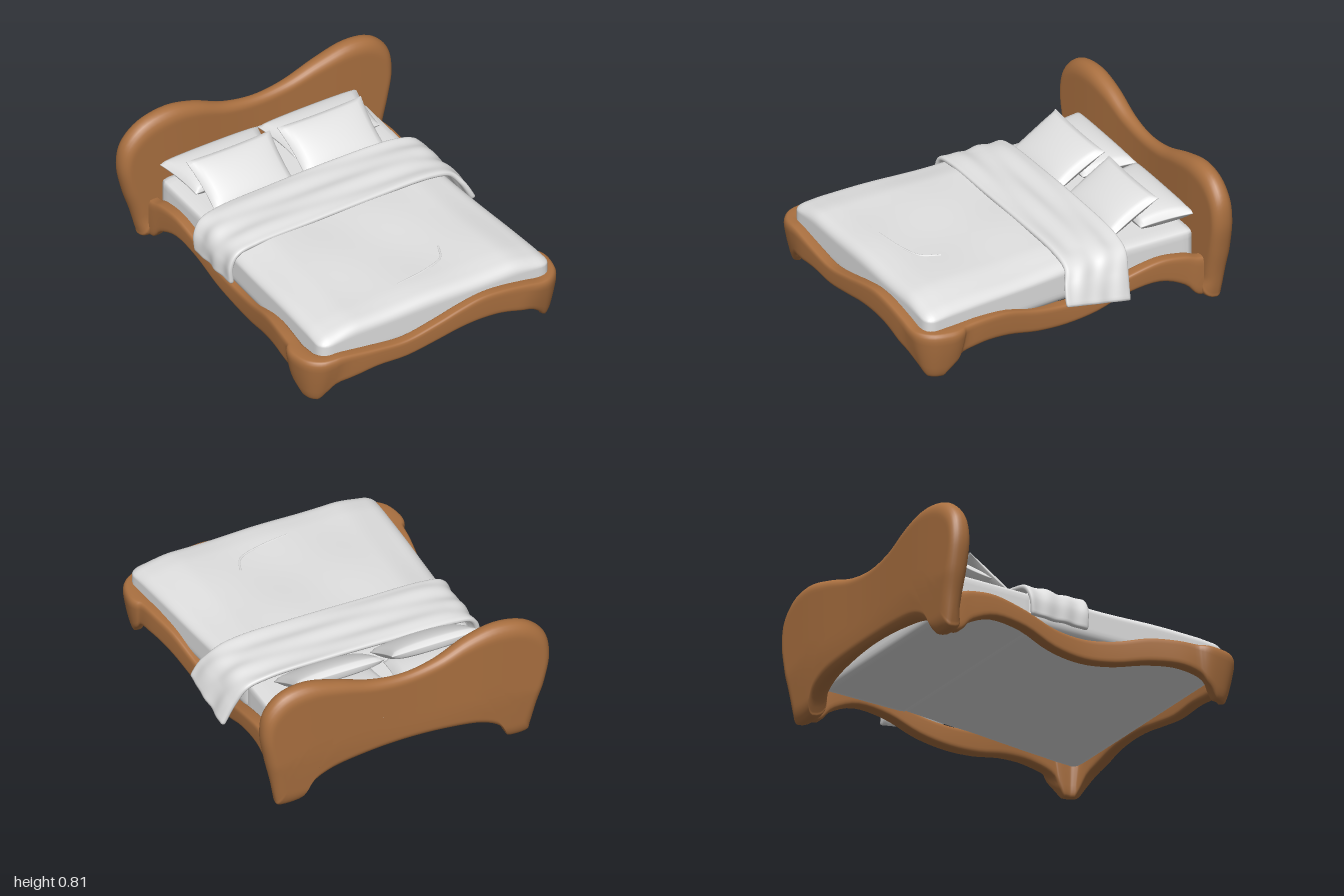
import * as THREE from 'three';
import { mergeVertices } from 'three/addons/utils/BufferGeometryUtils.js';

const wood = new THREE.MeshStandardMaterial({ color: 0xaa7040 });
wood.name = 'warm wood';
const linen = new THREE.MeshStandardMaterial({ color: 0xe0e0e0 });
linen.name = 'pale linen';

const V = (x, y, z) => new THREE.Vector3(x, y, z);
const { smoothstep, clamp } = THREE.MathUtils;

function addMesh(group, name, geometry, material) {
  const mesh = new THREE.Mesh(geometry, material);
  mesh.name = name;
  group.add(mesh);
  return mesh;
}

// Smooth surface through rows of points, each row a closed ring
function loft(rings) {
  const n = rings[0].length, index = [];
  for (let i = 0; i < rings.length - 1; i++) {
    for (let j = 0; j < n; j++) {
      const a = i * n + j, b = i * n + (j + 1) % n;
      index.push(a, b, a + n, b, b + n, a + n);
    }
  }
  const g = new THREE.BufferGeometry().setFromPoints(rings.flat());
  g.setIndex(index);
  g.computeVertexNormals();
  return g;
}

// Subdivided box with rounded edges, then shaped by a rule on each vertex
function softBox(size, segments, r, rule) {
  let g = new THREE.BoxGeometry(...size, ...segments);
  g.deleteAttribute('normal');
  g.deleteAttribute('uv');
  g = mergeVertices(g);
  const inner = V(size[0] / 2 - r, size[1] / 2 - r, size[2] / 2 - r);
  const p = V(), q = V(), pos = g.attributes.position;
  for (let i = 0; i < pos.count; i++) {
    p.fromBufferAttribute(pos, i);
    if (r > 0) {
      q.copy(p).clamp(inner.clone().negate(), inner);
      p.sub(q).setLength(r).add(q);
    }
    rule(p);
    pos.setXYZ(i, p.x, p.y, p.z);
  }
  g.computeVertexNormals();
  return g;
}

// Wavy headboard: rings shrink from the rim to a middle line on both faces
function headboardGeometry() {
  const outline = [
    [0.79, 0], [0.8, 0.03], [0.83, 0.18], [0.865, 0.34], [0.89, 0.52], [0.865, 0.66], [0.77, 0.76], [0.62, 0.79],
    [0.42, 0.745], [0.2, 0.672], [0, 0.65], [-0.2, 0.685], [-0.4, 0.77], [-0.58, 0.805],
    [-0.76, 0.765], [-0.87, 0.66], [-0.9, 0.52], [-0.87, 0.34], [-0.82, 0.18], [-0.78, 0.03], [-0.77, 0],
    [-0.645, 0], [-0.635, 0.02], [-0.59, 0.09], [-0.48, 0.15], [-0.28, 0.185], [0, 0.2],
    [0.28, 0.185], [0.48, 0.15], [0.59, 0.09], [0.635, 0.02], [0.645, 0]];
  const rim = new THREE.CatmullRomCurve3(outline.map(([x, y]) => V(x, y, 0)), true).getPoints(160).slice(0, -1);
  const levels = [1, 0.8, 0.6, 0.4, 0.25, 0.2, 0.15, 0.1, 0.06, 0.03, 0.01];
  const ring = (k, face) => rim.map(p => {
    const x = p.x * (1 - 0.28 * k), y = p.y + (0.42 - p.y) * k;
    const round = Math.sqrt(1 - (1 - Math.min(k / 0.2, 1)) ** 2);
    const wide = smoothstep(Math.abs(x), 0, 0.65);
    // Feet sit a little forward of the panel
    const foot = face < 0 ? 1 - 0.4 * Math.max(0, 1 - y / 0.3) : 1 + 0.5 * Math.max(0, 1 - y / 0.12);
    return V(x, y, -0.94 + 0.005 * wide + face * foot * round * (0.04 + 0.025 * wide));
  });
  return loft([
    ...levels.map(k => ring(k, -1)), ring(0, 0),
    ...levels.slice().reverse().map(k => ring(k, 1))]);
}

// Side rails, front legs and footboard as one swept band
function frameGeometry() {
  // x, z, bottom, top, width; from the headboard forward
  const side = [
    [0.72, -0.92, 0.01, 0.25, 0.08], [0.72, -0.84, 0.02, 0.26, 0.08], [0.715, -0.76, 0.1, 0.285, 0.08],
    [0.71, -0.6, 0.165, 0.3, 0.08], [0.705, -0.4, 0.15, 0.26, 0.08], [0.695, -0.2, 0.08, 0.2, 0.08],
    [0.695, 0, 0.055, 0.185, 0.08], [0.715, 0.2, 0.075, 0.215, 0.08], [0.745, 0.4, 0.125, 0.275, 0.08],
    [0.775, 0.58, 0.145, 0.295, 0.08], [0.79, 0.7, 0.12, 0.295, 0.085], [0.805, 0.75, 0.05, 0.295, 0.115],
    [0.805, 0.8, 0, 0.295, 0.125], [0.79, 0.88, 0, 0.295, 0.115], [0.745, 0.93, 0, 0.295, 0.105],
    [0.69, 0.948, 0.04, 0.297, 0.09]];
  const front = [
    [0.6, 0.952, 0.125, 0.315, 0.08], [0.45, 0.955, 0.18, 0.34, 0.075], [0.3, 0.96, 0.2, 0.35, 0.07],
    [0.15, 0.962, 0.195, 0.325, 0.07], [0, 0.962, 0.17, 0.288, 0.07], [-0.2, 0.96, 0.14, 0.25, 0.07],
    [-0.4, 0.957, 0.145, 0.267, 0.075], [-0.6, 0.952, 0.11, 0.295, 0.08]];
  const mirrored = side.map(([x, ...rest]) => [0.02 - x, ...rest]).reverse();
  const stations = [...side, ...front, ...mirrored];
  const path = new THREE.CatmullRomCurve3(stations.map(s => V(s[0], 0, s[1])), false, 'catmullrom');
  const sizes = new THREE.CatmullRomCurve3(stations.map(s => V(s[2], s[3], s[4])), false, 'catmullrom');
  const steps = (stations.length - 1) * 4, sides = 28, rings = [];
  const soft = v => Math.sign(v) * Math.abs(v) ** 0.42;
  for (let i = 0; i <= steps; i++) {
    const c = path.getPoint(i / steps), d = sizes.getPoint(i / steps);
    const out = V(0, 1, 0).cross(path.getTangent(i / steps)).normalize();
    const low = Math.max(0, d.x);
    rings.push(Array.from({ length: sides }, (_, j) => {
      const a = (j / sides) * Math.PI * 2;
      const p = c.clone().addScaledVector(out, soft(Math.cos(a)) * d.z / 2);
      p.y = (low + d.y) / 2 + soft(Math.sin(a)) * (d.y - low) / 2;
      // Front legs taper toward their feet
      const fx = p.x > 0 ? 0.755 : -0.735, fz = 0.86;
      const near = 1 - smoothstep(Math.hypot(p.x - fx, p.z - fz), 0.13, 0.25);
      const pull = near * 0.5 * Math.max(0, 1 - p.y / 0.27) ** 1.25;
      p.x += (fx - p.x) * pull;
      p.z += (fz - p.z) * pull;
      return p;
    }));
  }
  return loft(rings);
}

// Plump cushion with pinched edges, narrower toward its front edge
function pillowGeometry(width, length, thickness, taper) {
  return softBox([2, 2, 2], [24, 2, 24], 0, p => {
    const { x: u, z: v } = p;
    const full = 0.05 + 0.95 * Math.max(0, (1 - u * u) * (1 - v * v)) ** 0.35;
    p.x = u * width / 2 * (1 - 0.04 * (1 - v * v)) * (1 - taper * (v + 1) / 2);
    p.y *= thickness / 2 * full;
    p.z = v * length / 2 * (1 - 0.04 * (1 - u * u));
  });
}

// Throw blanket draped across the bed, hanging lower on the left side
function throwGeometry() {
  const drape = new THREE.CatmullRomCurve3([
    V(-0.735, 0.23, 0), V(-0.73, 0.34, 0), V(-0.69, 0.41, 0), V(-0.58, 0.443, 0), V(-0.2, 0.455, 0),
    V(0.2, 0.455, 0), V(0.58, 0.443, 0), V(0.71, 0.41, 0), V(0.775, 0.33, 0), V(0.835, 0.2, 0)]);
  return softBox([2, 0.03, 0.38], [90, 2, 30], 0.014, p => {
    const t = clamp((p.x + 1) / 2, 0, 1), v = p.z / 0.19;
    const c = drape.getPoint(t), d = drape.getTangent(t);
    const hang = smoothstep(t, 0.75, 1);
    const wave = 0.004 * Math.sin(v * 6 + t * 13) + 0.003 * Math.sin(v * 10 - t * 11);
    const off = p.y + wave;
    p.set(c.x - d.y * off, c.y + d.x * off + 0.035 * hang * v,
      p.z * (1 + 0.08 * hang) - 0.185 + hang * 0.035 - 0.035 * Math.sin(Math.PI * t) * (1 - v) / 2);
  });
}

export function createModel() {
  const bed = new THREE.Group();
  bed.name = 'bed';
  addMesh(bed, 'headboard', headboardGeometry(), wood);
  addMesh(bed, 'frame', frameGeometry(), wood);

  addMesh(bed, 'mattress', softBox([1.34, 0.22, 0.56], [30, 8, 14], 0.03, p => {
    p.y += 0.29;
    p.z -= 0.575;
  }), linen);

  // Duvet widening toward the foot, sloping at its edges, with shallow wrinkles
  addMesh(bed, 'duvet', softBox([1.41, 0.265, 1.29], [64, 14, 60], 0.065, p => {
    p.z += 0.285;
    const top = smoothstep(p.y, 0, 0.13);
    const slope = 0.035 * smoothstep(Math.abs(p.x), 0.46, 0.7) + 0.012 * smoothstep(p.z, 0.75, 0.93);
    p.y += 0.313 + top * (0.003 * (Math.sin(p.z * 9 + p.x * 4) + Math.sin(p.x * 11 - p.z * 5)) - 0.008 * p.z - slope);
    p.x = p.x * (1 + 0.085 * p.z) + 0.037 * p.z;
  }), linen);

  // Raised crease near the foot of the duvet
  const crease = new THREE.CatmullRomCurve3([
    V(-0.1, 0.437, 0.73), V(0.1, 0.437, 0.7), V(0.23, 0.437, 0.65), V(0.28, 0.437, 0.55)]);
  addMesh(bed, 'duvetCrease', new THREE.TubeGeometry(crease, 24, 0.007, 8), linen);

  addMesh(bed, 'throwBlanket', throwGeometry(), linen);

  // Back pillows lie nearly flat, front pillows lean on them
  const back = pillowGeometry(0.65, 0.32, 0.135, 0.14);
  const lean = pillowGeometry(0.55, 0.35, 0.11, 0.04);
  [[-0.34, -0.325], [0.31, 0.275]].forEach(([xb, xf]) => {
    const b = addMesh(bed, 'backPillow', back, linen);
    b.position.set(xb, 0.463, -0.72);
    b.rotation.x = 0.08;
    const f = addMesh(bed, 'frontPillow', lean, linen);
    f.position.set(xf, 0.492, -0.545);
    f.rotation.x = 0.54;
  });
  return bed;
}
